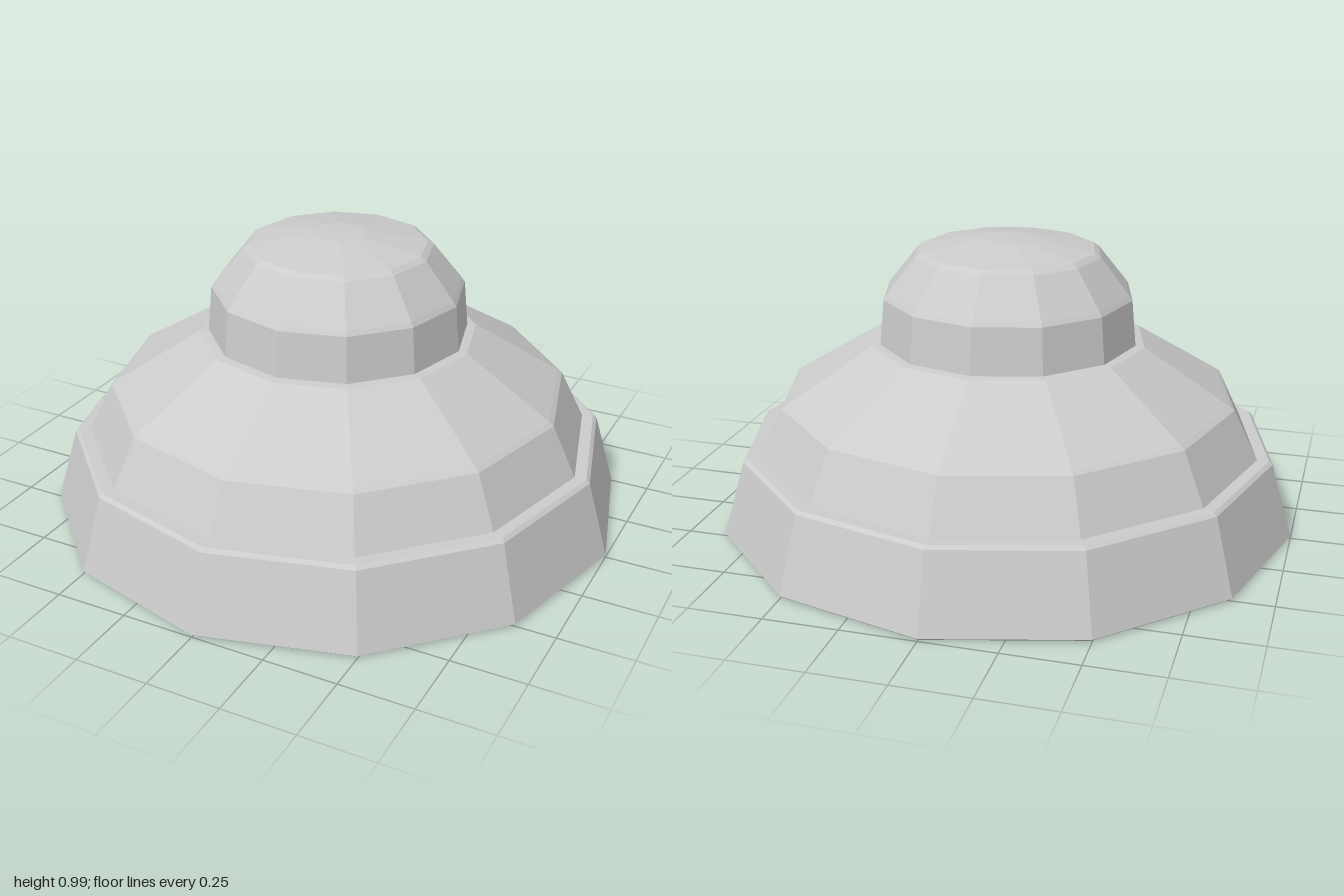
import * as THREE from 'three';

const SIDES = 12;

function lathe(name, profile, segments) {
  const points = profile.map(([r, y]) => new THREE.Vector2(r, y));
  const material = new THREE.MeshStandardMaterial({ color: 0xcccccc, flatShading: true });
  const mesh = new THREE.Mesh(new THREE.LatheGeometry(points, segments), material);
  mesh.name = name;
  return mesh;
}

export function createModel() {
  const lamp = new THREE.Group();
  lamp.name = 'lamp';

  // Thin stepped shade: outside from rim to collar, then back down the inside
  lamp.add(lathe('shade', [
    [0.99, 0], [1, 0.008], [0.925, 0.264], [0.912, 0.275],
    [0.872, 0.275], [0.788, 0.445], [0.772, 0.457], [0.475, 0.64], [0.43, 0.645],
    [0.425, 0.63], [0.465, 0.622], [0.76, 0.44], [0.77, 0.43], [0.852, 0.265],
    [0.9, 0.255], [0.97, 0.008], [0.975, 0], [0.99, 0],
  ], SIDES));

  // Hollow domed cap over the socket
  lamp.add(lathe('cap', [
    [0.445, 0.64], [0.43, 0.8], [0.42, 0.815], [0.32, 0.94], [0.3, 0.953], [0.09, 0.988], [0, 0.99],
    [0, 0.97], [0.09, 0.968], [0.295, 0.932], [0.408, 0.795], [0.425, 0.64], [0.445, 0.64],
  ], SIDES));

  // Round bulb with a neck running up into the cap
  const bulbProfile = [];
  for (let i = 0; i <= 14; i++) {
    const a = (i / 14) * Math.PI * 0.84;
    bulbProfile.push([0.38 * Math.sin(a), 0.44 - 0.38 * Math.cos(a)]);
  }
  bulbProfile.push([0.17, 0.86], [0.17, 0.96], [0, 0.96]);
  lamp.add(lathe('bulb', bulbProfile, 28));

  return lamp;
}
